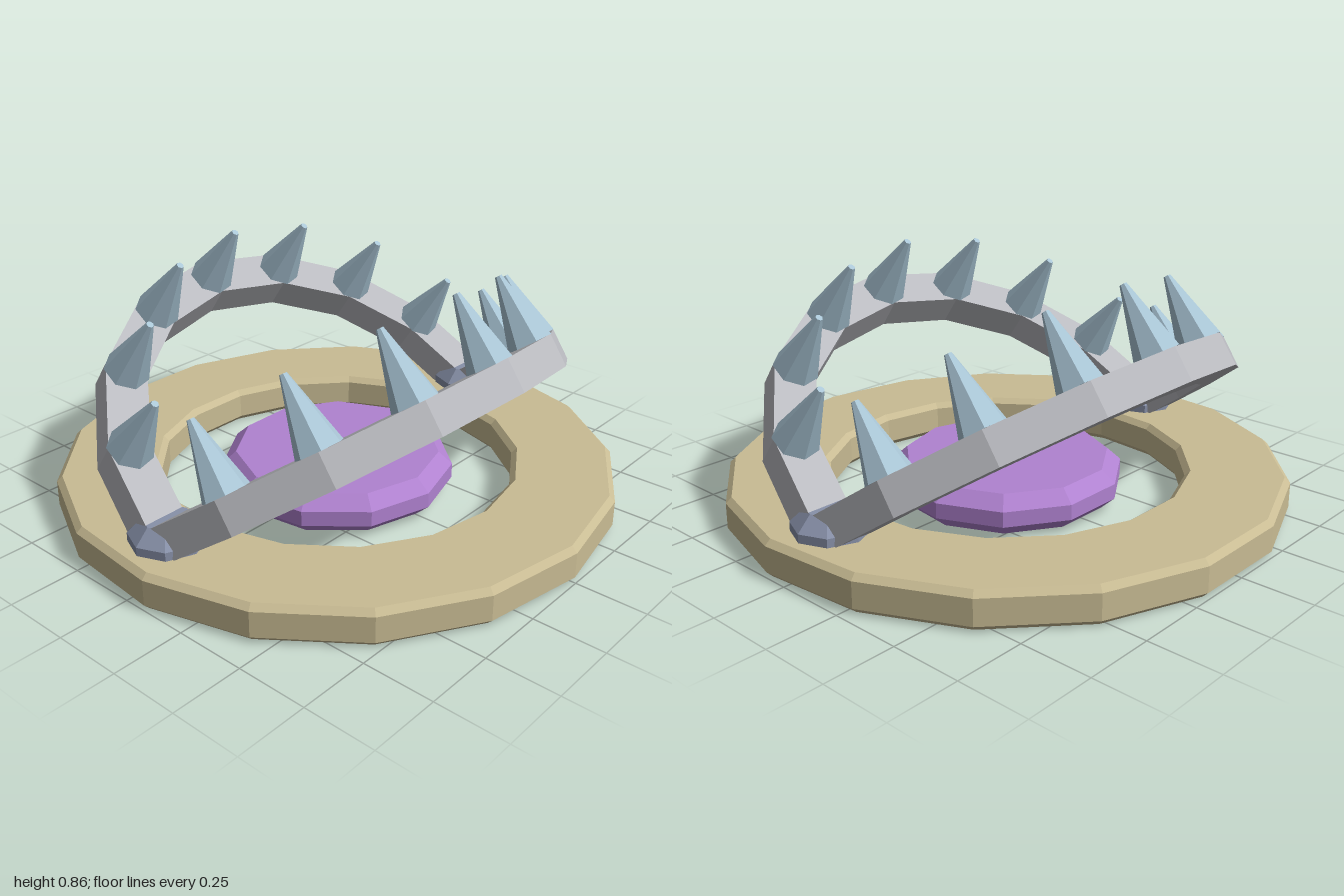
import * as THREE from 'three';

const paint = (name, color) => {
  const m = new THREE.MeshStandardMaterial({ color, flatShading: true });
  m.name = name;
  return m;
};

// Faceted solid of revolution with its first corner on +x
function turned(name, profile, sides, material) {
  const pts = profile.map(([r, y]) => new THREE.Vector2(r, y));
  const geo = new THREE.LatheGeometry(pts, sides).rotateY(Math.PI / 2).toNonIndexed();
  geo.computeVertexNormals();
  const mesh = new THREE.Mesh(geo, material);
  mesh.name = name;
  return mesh;
}

export function createModel() {
  const tan = paint('tan', 0xc9bc94);
  const purple = paint('purple', 0xb082d0);
  const steel = paint('steel', 0xb9babf);
  const paleBlue = paint('pale blue', 0xaac6d6);
  const slate = paint('slate', 0x8891a9);

  const model = new THREE.Group();
  model.name = 'jawTrap';
  const body = new THREE.Group();
  body.name = 'body';
  body.position.x = -0.0086;
  model.add(body);

  // Bevelled base ring
  body.add(turned('baseRing', [
    [0.66, 0], [0.984, 0], [1.0043, 0.02], [1.0043, 0.11], [0.984, 0.13],
    [0.66, 0.13], [0.64, 0.11], [0.64, 0.02], [0.66, 0],
  ], 17, tan));

  // Pressure plate in the middle
  body.add(turned('pressurePlate', [
    [0, 0.005], [0.37, 0.005], [0.42, 0.05], [0.42, 0.105], [0.37, 0.15], [0, 0.15],
  ], 11, purple));

  // Hinge studs at front and back
  for (const side of [1, -1]) {
    const hinge = turned(side > 0 ? 'frontHinge' : 'backHinge', [
      [0, 0], [0.13, 0], [0.13, 0.16], [0.08, 0.21], [0, 0.21],
    ], 8, slate);
    hinge.position.z = 0.812 * side;
    body.add(hinge);
  }

  // Half-ring jaw outline: outer arc, then inner arc back
  const outline = [];
  const steps = 8;
  for (const [r, dir] of [[0.9, 1], [0.75, -1]]) {
    for (let i = 0; i <= steps; i++) {
      const t = dir * (i / steps - 0.5) * Math.PI;
      outline.push(new THREE.Vector2(r * Math.cos(t), r * Math.sin(t)));
    }
  }
  const jawGeo = new THREE.ExtrudeGeometry(new THREE.Shape(outline), { depth: 0.12, bevelEnabled: false })
    .rotateX(Math.PI / 2).translate(0, 0.06, 0);
  const toothGeo = new THREE.CylinderGeometry(0.013, 0.082, 0.25, 7);

  // Two raised jaws with seven teeth each
  for (const side of [1, -1]) {
    const mount = new THREE.Group();
    mount.name = side > 0 ? 'leftJaw' : 'rightJaw';
    mount.position.y = 0.128;
    mount.rotation.y = side > 0 ? 0 : Math.PI;
    const jaw = new THREE.Group();
    jaw.name = 'tiltedJaw';
    jaw.rotation.z = THREE.MathUtils.degToRad(35);
    const band = new THREE.Mesh(jawGeo, steel);
    band.name = 'jawBand';
    jaw.add(band);
    for (let i = 1; i < steps; i++) {
      const t = (i / steps - 0.5) * Math.PI;
      const tooth = new THREE.Mesh(toothGeo, paleBlue);
      tooth.name = 'tooth';
      tooth.position.set(0.825 * Math.cos(t), 0.185, 0.825 * Math.sin(t));
      jaw.add(tooth);
    }
    mount.add(jaw);
    body.add(mount);
  }
  return model;
}
